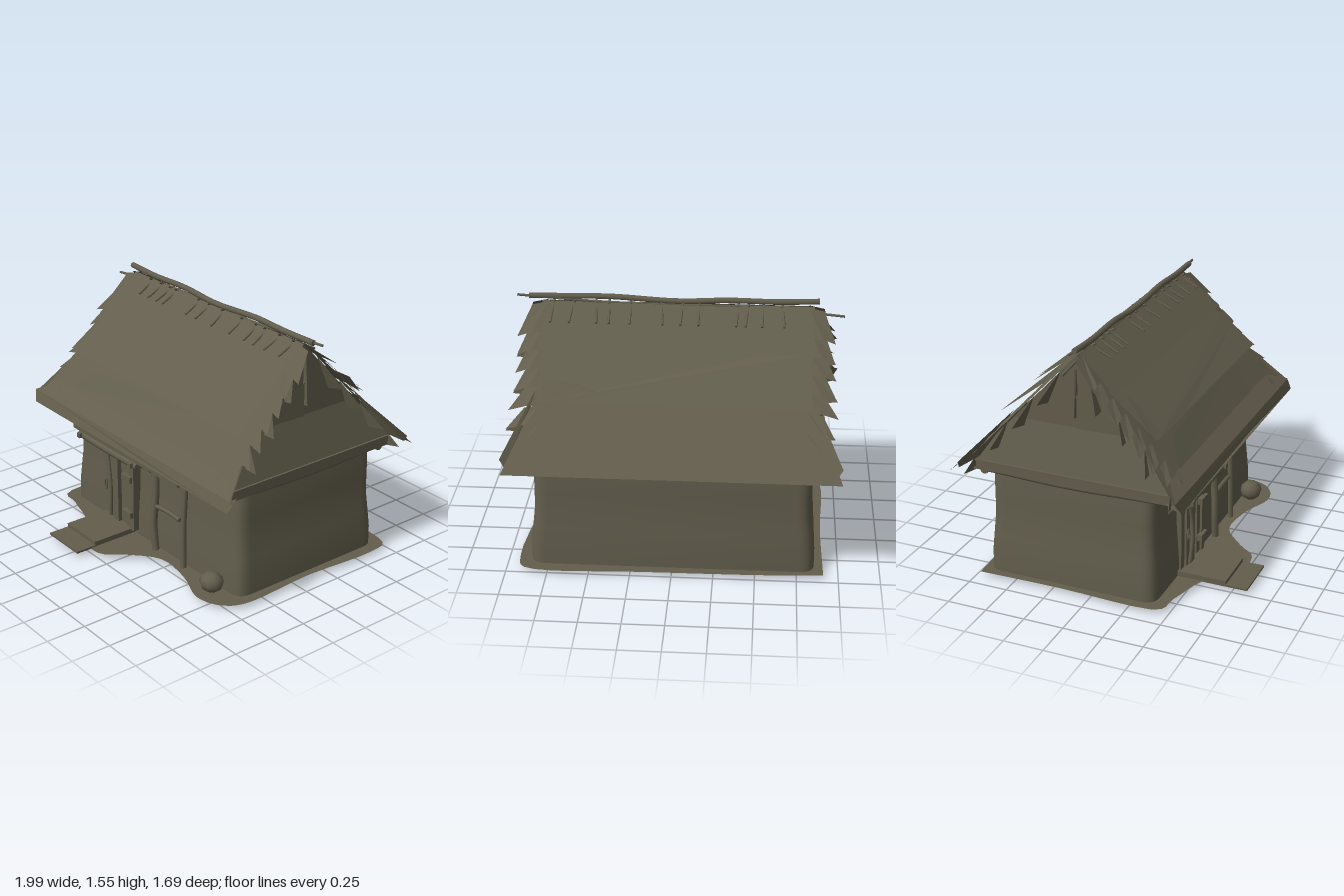
import * as THREE from 'three';
import { toCreasedNormals } from 'three/addons/utils/BufferGeometryUtils.js';

const mat = new THREE.MeshStandardMaterial({ color: 0x625d4c, side: THREE.DoubleSide });
mat.name = 'weatheredThatchAndMud';

export function createModel() {
  const root = new THREE.Group();
  root.name = 'thatchedHut';
  let seed = 7;
  const rnd = () => (seed = (seed * 16807) % 2147483647) / 2147483647;

  const add = (name, geo, parent = root) => {
    const m = new THREE.Mesh(geo, mat);
    m.name = name;
    parent.add(m);
    return m;
  };
  const group = (name) => {
    const g = new THREE.Group();
    g.name = name;
    root.add(g);
    return g;
  };
  const box = (name, x0, x1, y0, y1, z0, z1, parent) => {
    const m = add(name, new THREE.BoxGeometry(x1 - x0, y1 - y0, z1 - z0), parent);
    m.position.set((x0 + x1) / 2, (y0 + y1) / 2, (z0 + z1) / 2);
    return m;
  };
  // flat sheet through a fan of corners
  const sheet = (name, pts, parent) => {
    const g = new THREE.BufferGeometry();
    const v = [];
    for (let i = 1; i < pts.length - 1; i++) v.push(...pts[0], ...pts[i], ...pts[i + 1]);
    g.setAttribute('position', new THREE.Float32BufferAttribute(v, 3));
    g.computeVertexNormals();
    return add(name, g, parent);
  };
  // crooked pole with closed ends
  const pole = (name, pts, r, parent) => {
    const p = pts.map((a) => new THREE.Vector3(...a));
    const g = new THREE.TubeGeometry(new THREE.CatmullRomCurve3(p), Math.max(2, p.length * 3), r, 8);
    const m = add(name, g, parent);
    [[p[0], p[1]], [p[p.length - 1], p[p.length - 2]]].forEach(([end, next]) => {
      const cap = add(name + 'End', new THREE.CircleGeometry(r, 8), m);
      cap.position.copy(end);
      cap.lookAt(end.clone().multiplyScalar(2).sub(next));
    });
    return m;
  };

  // mud walls: rounded plan, tapering upward with slight unevenness
  const plan = new THREE.Shape();
  const w = 0.855, d = 0.545, r = 0.09;
  plan.moveTo(-w + r, -d).lineTo(w - r, -d).quadraticCurveTo(w, -d, w, -d + r)
    .lineTo(w, d - r).quadraticCurveTo(w, d, w - r, d).lineTo(-w + r, d)
    .quadraticCurveTo(-w, d, -w, d - r).lineTo(-w, -d + r).quadraticCurveTo(-w, -d, -w + r, -d);
  let walls = new THREE.ExtrudeGeometry(plan, { depth: 0.71, steps: 6, bevelEnabled: false, curveSegments: 6 });
  walls.rotateX(-Math.PI / 2);
  const wp = walls.attributes.position;
  for (let i = 0; i < wp.count; i++) {
    const y = wp.getY(i), k = 1 - 0.05 * (y / 0.71) + 0.007 * Math.sin(y * 13);
    wp.setXYZ(i, wp.getX(i) * k, y + 0.03, wp.getZ(i) * k - 0.145);
  }
  add('mudWalls', toCreasedNormals(walls, 0.7));

  // trodden earth apron
  const ground = [[-0.91, 0.72], [-0.5, 0.74], [0.2, 0.75], [0.82, 0.76], [0.93, 0.6], [0.9, 0.1], [0.92, -0.35],
    [0.85, -0.52], [0.68, -0.58], [0.45, -0.5], [0.2, -0.48], [0.02, -0.62], [-0.1, -0.74], [-0.35, -0.72],
    [-0.5, -0.56], [-0.75, -0.48], [-0.91, -0.4], [-0.9, 0.2]].map((p) => new THREE.Vector2(...p));
  const gs = new THREE.Shape();
  gs.setFromPoints(new THREE.SplineCurve([...ground, ground[0]]).getPoints(72));
  add('earthApron', new THREE.ShapeGeometry(gs).rotateX(-Math.PI / 2)).position.y = 0.03;

  // roof core
  const roof = group('roof');
  const tri = new THREE.Shape();
  tri.moveTo(-0.56, 0.74).lineTo(0.8, 0.74).lineTo(0.09, 1.5).closePath();
  const core = new THREE.ExtrudeGeometry(tri, { depth: 1.62, bevelEnabled: false });
  core.rotateY(Math.PI / 2).translate(-0.81, 0, 0);
  add('roofCore', core, roof);

  // overlapping thatch tiers: [top y, top z, top half width, bottom y, bottom z, bottom half width]
  const tiers = [
    [0.87, 0.48, 0.84, 0.79, 0.585, 1.0], [1.12, 0.27, 0.84, 0.75, 0.585, 0.98],
    [1.32, 0.09, 0.81, 1.07, 0.4, 0.82], [1.5, -0.08, 0.79, 1.3, 0.155, 0.83],
    [1.1, -0.48, 0.8, 0.72, -0.85, 0.99], [1.33, -0.26, 0.8, 1.07, -0.6, 0.8], [1.5, -0.1, 0.79, 1.31, -0.36, 0.82],
  ];
  tiers.forEach(([y0, z0, w0, y1, z1, w1]) =>
    sheet('thatchTier', [[-w0, y0, z0], [w0 - 0.02, y0, z0], [w1 - 0.01, y1, z1], [-w1, y1, z1]], roof));
  // eave fringe
  sheet('frontFringe', [[-1, 0.79, 0.585], [0.99, 0.785, 0.585], [0.99, 0.72, 0.61], [0.2, 0.735, 0.6], [-0.97, 0.72, 0.61]], roof);
  sheet('frontSoffit', [[-0.97, 0.72, 0.61], [0.99, 0.72, 0.61], [0.86, 0.74, 0.4], [-0.86, 0.74, 0.4]], roof);
  // loose slanting thatch bundles and patches
  sheet('looseThatch', [[-0.82, 1.07, 0.405], [-0.45, 1.07, 0.41], [0.78, 1.22, 0.27], [0.78, 1.29, 0.19]], roof);
  sheet('looseThatch', [[-0.74, 1.3, 0.17], [-0.74, 1.1, 0.385], [-0.84, 1.08, 0.4], [-0.82, 1.14, 0.34]], roof);
  sheet('looseThatch', [[-0.72, 0.87, 0.5], [0.52, 0.88, 0.5], [0.52, 1.06, 0.35], [-0.6, 1.0, 0.4]], roof);
  sheet('looseThatch', [[-0.77, 1.08, -0.61], [-0.66, 1.08, -0.61], [0.75, 1.31, -0.37], [0.52, 1.3, -0.36]], roof)
    .scale.set(-1, 1, 1);
  sheet('looseThatch', [[0.4, 1.12, -0.57], [0.75, 1.05, -0.61], [0.77, 1.18, -0.5], [0.55, 1.16, -0.53]], roof);
  [-0.12, 0.19].forEach((x) =>
    sheet('thatchBatten', [[x - 0.025, 1.07, -0.54], [x + 0.025, 1.07, -0.54], [x + 0.025, 0.88, -0.71], [x - 0.025, 0.88, -0.71]], roof));

  // gable ends: hip skirt, eave beam, ragged rake tufts
  [-1, 1].forEach((s) => {
    const gable = group(s > 0 ? 'leftGable' : 'rightGable');
    sheet('gableSkirt', [[s * 0.89, 0.77, 0.54], [s * 0.89, 0.77, -0.76], [s * 0.815, 1.06, -0.49], [s * 0.815, 1.06, 0.28]], gable);
    sheet('gablePatch', [[s * 0.815, 1.06, 0.27], [s * 0.815, 1.12, 0.22], [s * 0.83, 1.27, -0.09], [s * 0.83, 1.06, -0.09]], gable);
    sheet('gableSeam', [[s * 0.82, 1.42, -0.085], [s * 0.82, 1.13, -0.085], [s * 0.85, 1.13, -0.095], [s * 0.83, 1.42, -0.095]], gable);
    box('gableBeam', s * 0.875 - 0.025, s * 0.875 + 0.025, 0.72, 0.78, -0.72, 0.57, gable);
    sheet('gableSoffit', [[s * 0.8, 0.73, 0.55], [s * 0.9, 0.72, 0.55], [s * 0.9, 0.72, -0.74], [s * 0.8, 0.73, -0.74]], gable);
    // corner flaps joining skirt and eaves
    sheet('cornerFlap', [[s * 0.83, 1.1, 0.27], [s * 0.99, 0.78, 0.585], [s * 0.97, 0.72, 0.6], [s * 0.88, 0.8, 0.48]], gable);
    sheet('cornerFlap', [[s * 0.81, 1.1, -0.5], [s * 0.99, 0.79, -0.79], [s * 0.96, 0.74, -0.8], [s * 0.88, 0.8, -0.7]], gable);
    [[0.58, 0.76], [-0.8, 0.75]].forEach(([ze, ye]) => {
      const n = 8;
      for (let i = 0; i < n; i++) {
        const at = (t) => [1.5 + (ye - 1.5) * t, -0.09 + (ze + 0.09) * t];
        const [y0, z0] = at(i / n), [y1, z1] = at((i + 1.7) / (n + 1));
        const out = 0.9 + 0.04 * (i / n) + 0.05 * rnd(), lift = 0.02 * Math.sign(ze);
        sheet('rakeTuft', [[s * 0.78, y0, z0 + lift], [s * 0.87, y0 - 0.02, z0 + lift],
          [s * out, y1 - 0.03, z1 + lift], [s * 0.86, y1, z1 + lift], [s * 0.78, y1, z1 + lift]], gable);
        if (i % 2) sheet('rakeStraw', [[s * 0.83, y0, z0], [s * (out + 0.01), y1 - 0.06, z1 - lift], [s * 0.84, y1 - 0.08, z1 - 2 * lift]], gable);
      }
    });
  });

  // ridge poles and tie pegs
  const ridge = group('ridge');
  pole('ridgePole', [[-0.84, 1.535, -0.09], [-0.6, 1.525, -0.09], [-0.3, 1.53, -0.095], [0, 1.515, -0.09],
    [0.4, 1.535, -0.09], [0.65, 1.53, -0.085], [0.89, 1.53, -0.09]], 0.018, ridge);
  pole('innerRidgePole', [[-0.99, 1.445, -0.095], [-0.5, 1.49, -0.1], [0.4, 1.5, -0.095], [0.96, 1.535, -0.095]], 0.008, ridge);
  [-0.62, -0.51, -0.42, -0.36, -0.13, -0.03, 0.1, 0.28, 0.41, 0.49, 0.62, 0.74].forEach((x) => {
    const a = (rnd() - 0.5) * 0.04;
    pole('tiePeg', [[x, 1.51, -0.12], [x + a, 1.43, 0.03]], 0.007, ridge);
    pole('tiePeg', [[x, 1.51, -0.06], [x - a, 1.42, -0.23]], 0.007, ridge);
  });

  // poles and joist ends under the eaves
  const eaves = group('eavePoles');
  pole('frontEavePole', [[-0.85, 0.715, 0.44], [0, 0.725, 0.45], [0.85, 0.715, 0.44]], 0.022, eaves);
  pole('backEavePole', [[-0.86, 0.7, -0.69], [0, 0.715, -0.7], [0.86, 0.7, -0.69]], 0.026, eaves);
  [-0.78, -0.3, 0.2, 0.78].forEach((x) => {
    pole('joist', [[x, 0.73, 0.5], [x, 0.71, 0.3]], 0.022, eaves);
    pole('joist', [[x, 0.71, -0.6], [x, 0.69, -0.68], [x, 0.73, -0.76]], 0.024, eaves);
  });
  [-1, 1].forEach((s) => pole('sideEavePole', [[s * 0.84, 0.71, 0.42], [s * 0.85, 0.7, -0.15], [s * 0.84, 0.71, -0.66]], 0.025, eaves));

  // plank door with hinges and handle
  const door = group('door');
  for (let i = 0; i < 6; i++) {
    const x = -0.445 + i * 0.056;
    box('doorPlank', x - 0.025, x + 0.025, 0.06, 0.55 + 0.01 * (i % 2), 0.38, 0.415 + 0.012 * (i % 3), door).rotation.z = (rnd() - 0.5) * 0.03;
  }
  pole('doorBrace', [[-0.41, 0.52, 0.44], [-0.37, 0.28, 0.45], [-0.39, 0.08, 0.44]], 0.012, door);
  [0.17, 0.42].forEach((y) => box('hinge', -0.24, -0.15, y - 0.02, y + 0.02, 0.4, 0.46, door));
  const handle = add('handle', new THREE.TorusGeometry(0.022, 0.006, 6, 12).scale(0.6, 1.6, 1), door);
  handle.position.set(-0.43, 0.29, 0.445);

  // lintel shelf on brackets
  const shelf = group('lintelShelf');
  pole('lintel', [[-0.62, 0.59, 0.5], [-0.3, 0.59, 0.505], [0, 0.59, 0.5]], 0.024, shelf);
  box('upperBeam', -0.67, 0.42, 0.62, 0.67, 0.47, 0.52, shelf).rotation.z = 0.005;
  [-0.59, -0.04].forEach((x) => {
    const b = new THREE.Shape();
    b.moveTo(0.35, 0.6).lineTo(0.54, 0.61).lineTo(0.54, 0.58).quadraticCurveTo(0.42, 0.57, 0.37, 0.48).lineTo(0.35, 0.48);
    const g = new THREE.ExtrudeGeometry(b, { depth: 0.03, bevelEnabled: false }).rotateY(-Math.PI / 2);
    add('bracket', g, shelf).position.x = x + 0.015;
  });

  // leaning pole frame
  const frame = group('poleFrame');
  pole('framePost', [[0.08, 0.003, 0.43], [0.06, 0.2, 0.43], [0.07, 0.4, 0.42], [0.055, 0.6, 0.41]], 0.023, frame);
  pole('framePost', [[0.36, 0.02, 0.43], [0.355, 0.3, 0.425], [0.36, 0.6, 0.41]], 0.018, frame);
  pole('frameRail', [[0.05, 0.575, 0.42], [0.37, 0.585, 0.42]], 0.016, frame);
  pole('frameRung', [[0.07, 0.33, 0.425], [0.2, 0.345, 0.43], [0.32, 0.335, 0.425]], 0.014, frame);

  // doorstep, mat and boulder
  box('doorstep', -0.49, -0.18, 0.03, 0.062, 0.4, 0.71);
  box('mat', -0.49, -0.18, 0.025, 0.038, 0.55, 0.845);
  const rock = add('boulder', new THREE.SphereGeometry(0.075, 9, 6).scale(1.05, 0.85, 0.95));
  rock.position.set(0.67, 0.085, 0.46);
  return root;
}
